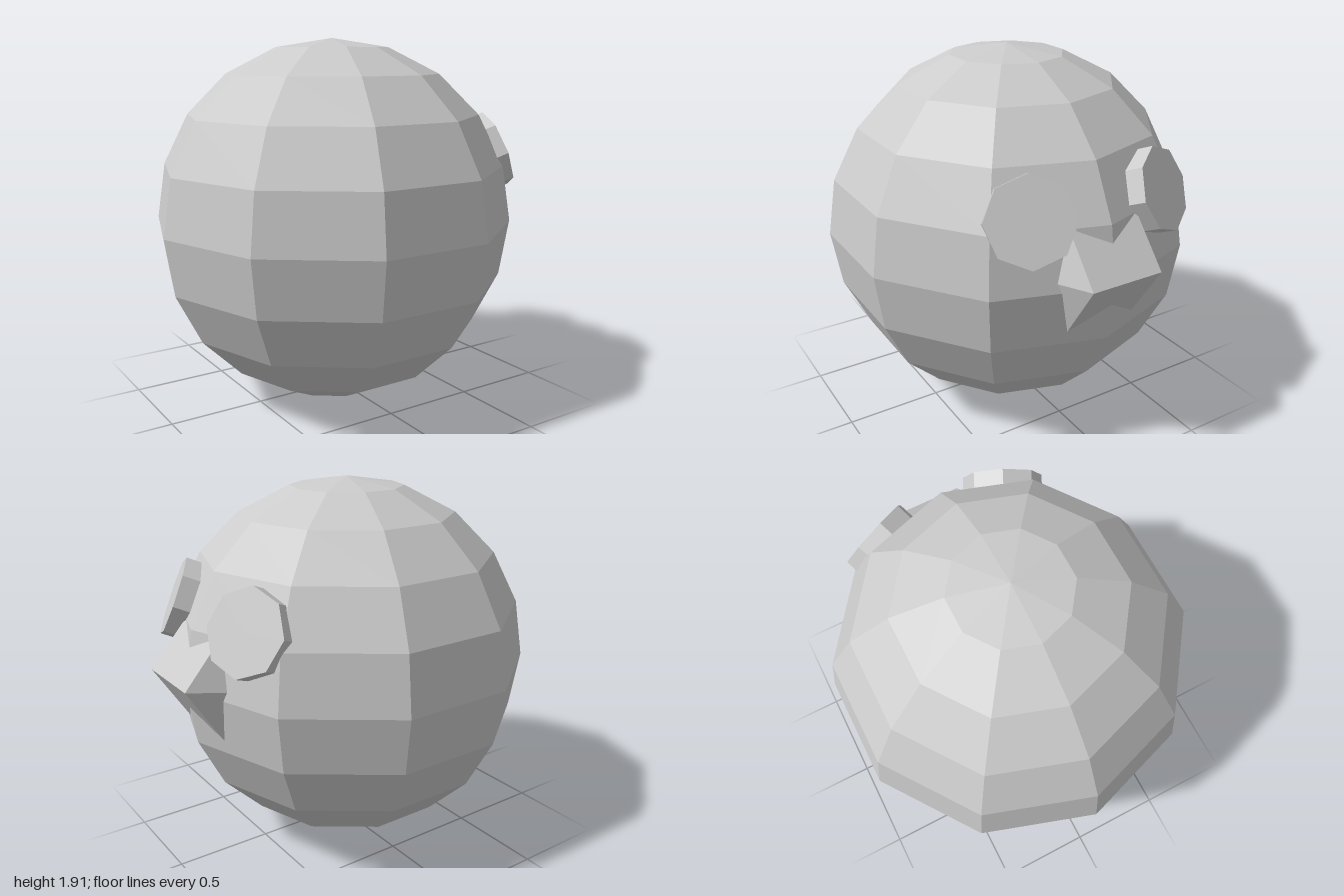
import * as THREE from 'three';
import { ConvexGeometry } from 'three/addons/geometries/ConvexGeometry.js';

const material = new THREE.MeshStandardMaterial({ color: 0xcccccc, flatShading: true });
const RADIUS = 0.955;
const CENTRE = new THREE.Vector3(-0.045, RADIUS, 0);

function addMesh(parent, name, geometry) {
  const mesh = new THREE.Mesh(geometry, material);
  mesh.name = name;
  parent.add(mesh);
  return mesh;
}

// Eight-sided disc lying on the body, facing straight out from its centre
function addEye(parent, name, side) {
  const thickness = 0.1;
  const geometry = new THREE.CylinderGeometry(0.213, 0.213, thickness, 8);
  geometry.rotateX(Math.PI / 2); // axis along z, one corner at the top
  geometry.translate(0, 0, -thickness / 2);
  const eye = addMesh(parent, name, geometry);
  eye.position.set(0.78, 1.32, 0.378 * side);
  const outward = eye.position.clone().sub(CENTRE);
  eye.lookAt(eye.position.clone().add(outward));
}

// Wedge beak: a six-sided root inside the body closing to a level front edge
function addBeak(parent) {
  const points = [];
  for (const side of [-1, 1]) {
    points.push(
      new THREE.Vector3(1.0, 1.02, 0.193 * side),
      new THREE.Vector3(0.7, 1.37, 0.19 * side),
      new THREE.Vector3(0.7, 0.99, 0.3 * side),
      new THREE.Vector3(0.7, 0.555, 0.19 * side),
    );
  }
  addMesh(parent, 'beak', new ConvexGeometry(points));
}

export function createModel() {
  const model = new THREE.Group();
  model.name = 'roundBird';

  // Faceted ball body
  const body = addMesh(model, 'body', new THREE.SphereGeometry(RADIUS, 10, 10));
  body.position.copy(CENTRE);

  addEye(model, 'frontEye', 1);
  addEye(model, 'backEye', -1);
  addBeak(model);
  return model;
}
